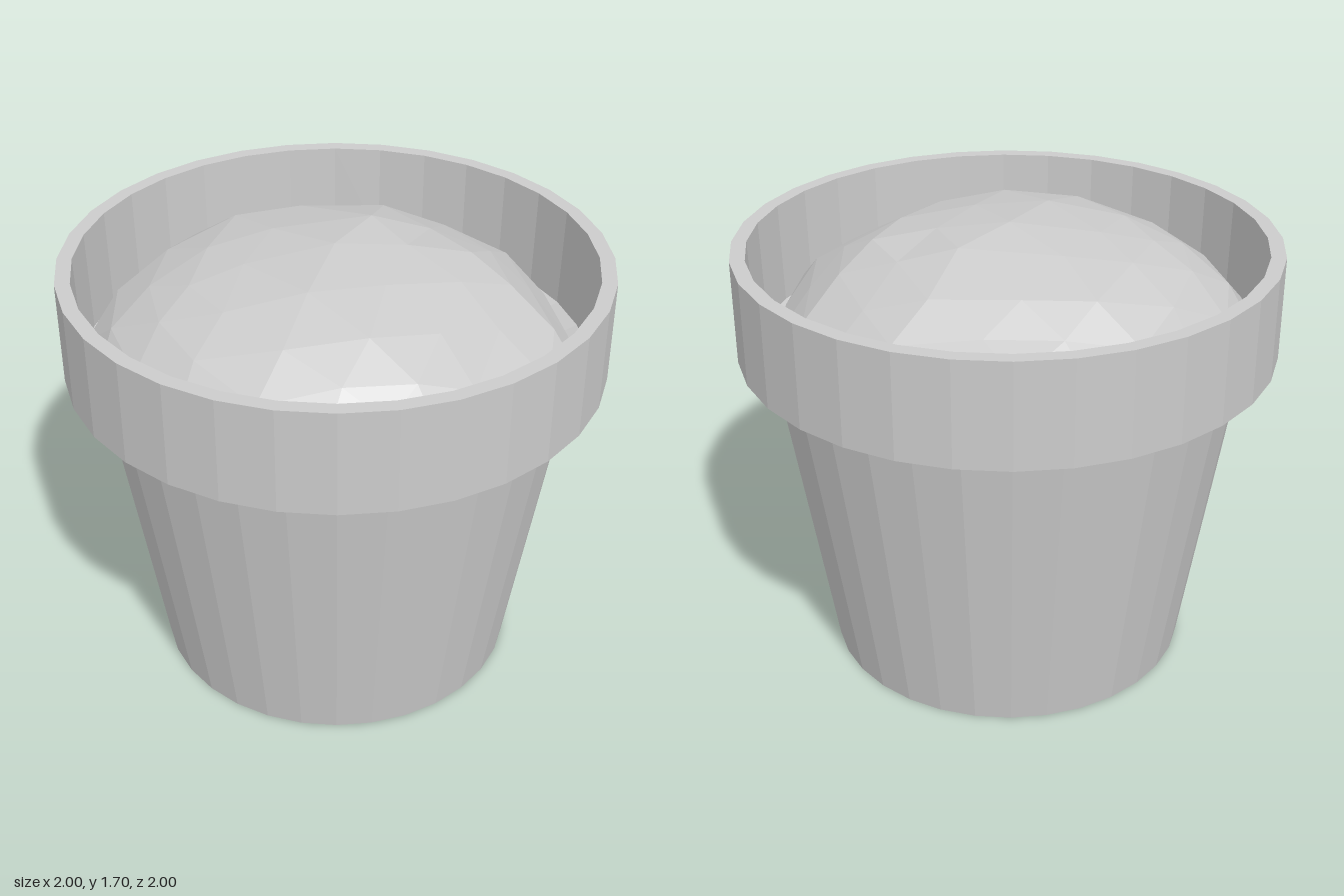
import * as THREE from 'three';

const material = () => new THREE.MeshStandardMaterial({ color: 0xcccccc, flatShading: true });

// Smooth, repeatable unevenness in about -1..1
const lump = (x, y, z) =>
  (Math.sin(5.1 * x + 2.3 * z + 0.7) + Math.sin(6.3 * z - 3.7 * x + 4 * y) + Math.sin(9.7 * x + 8.3 * z + 1.9)) / 3;

// Hollow tapered pot with an overhanging collar, turned as one closed profile
function makePot() {
  const profile = [
    [0, 0], [0.69, 0], [0.875, 1.2], [1, 1.245], [1, 1.635],
    [0.945, 1.635], [0.938, 1.25], [0.82, 1.2], [0.64, 0.06], [0, 0.06],
  ].map(([r, y]) => new THREE.Vector2(r, y));
  const pot = new THREE.Mesh(new THREE.LatheGeometry(profile, 32), material());
  pot.name = 'pot';
  return pot;
}

// Flattened faceted ball of earth, trimmed to stay within the pot
function makeSoil() {
  const geometry = new THREE.IcosahedronGeometry(1, 3);
  const pos = geometry.attributes.position;
  const p = new THREE.Vector3();
  for (let i = 0; i < pos.count; i++) {
    p.fromBufferAttribute(pos, i);
    const n = lump(p.x, p.y, p.z);
    const m = lump(p.z + 2, p.x, p.y);
    // Shuffle the corners sideways so the facets look irregular
    let x = 0.93 * p.x + 0.05 * n - 0.02;
    let z = 0.93 * p.z + 0.05 * m + 0.03;
    const y = p.y > 0 ? 1.18 + 0.515 * p.y + 0.02 * n * p.y : 1.18 + 0.4 * p.y;
    const limit = y > 1.26 ? 0.935 : 0.8 - Math.max(0, 1.2 - y) * 0.16;
    const r = Math.hypot(x, z);
    if (r > limit) {
      x *= limit / r;
      z *= limit / r;
    }
    pos.setXYZ(i, x, y, z);
  }
  geometry.computeVertexNormals();
  const soil = new THREE.Mesh(geometry, material());
  soil.name = 'soil';
  return soil;
}

export function createModel() {
  const model = new THREE.Group();
  model.name = 'flowerpot';
  model.add(makePot(), makeSoil());
  return model;
}
